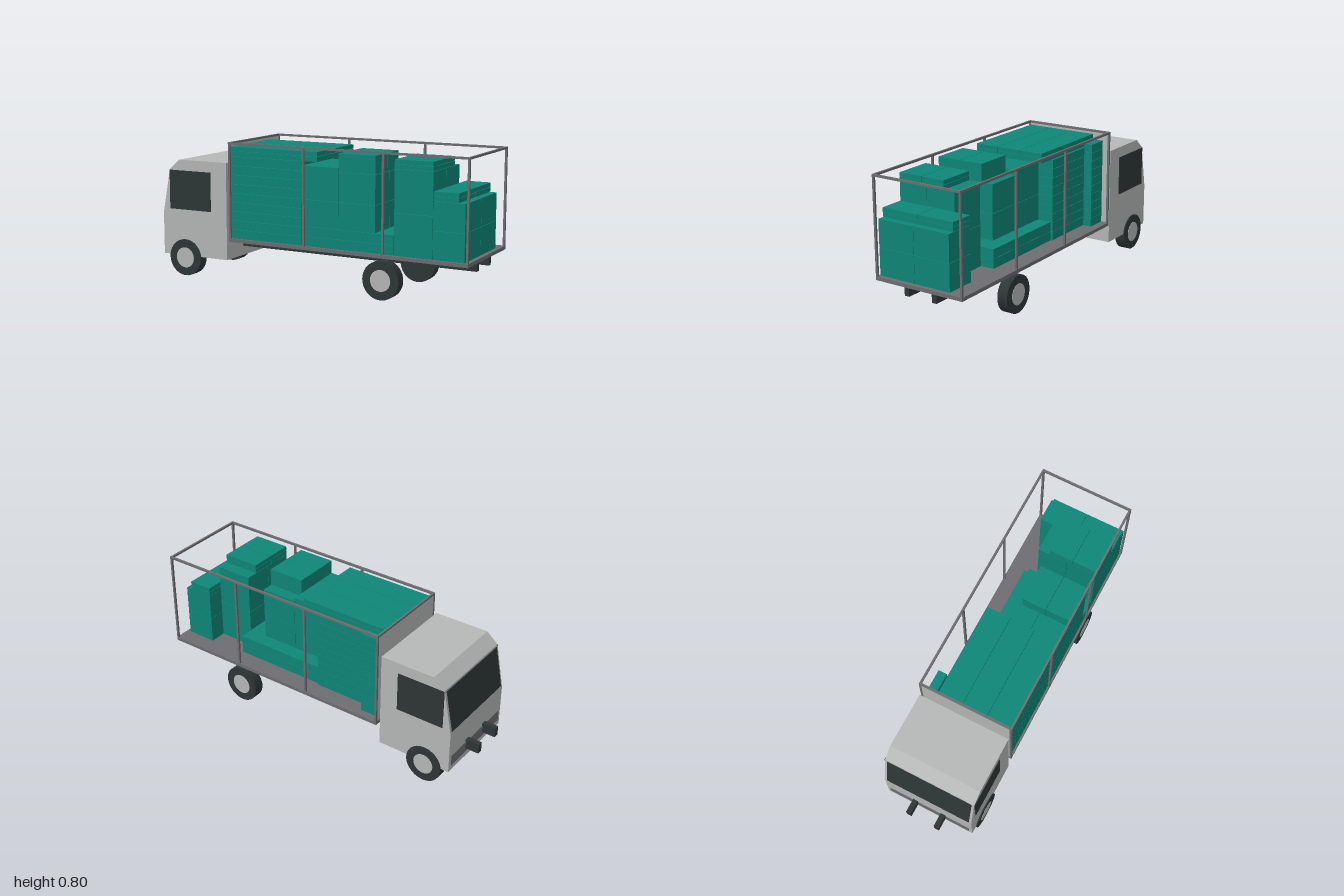
import * as THREE from 'three';

const mat = (name, color, side = THREE.FrontSide) => {
  const m = new THREE.MeshStandardMaterial({ color, side });
  m.name = name;
  return m;
};

export function createModel() {
  const truck = new THREE.Group();
  truck.name = 'truck';
  const paint = mat('light grey', 0xb5b8b7);
  const steel = mat('steel grey', 0x6d6d72);
  const dark = mat('dark rubber and glass', 0x2e3636);
  const teal = mat('teal crate', 0x0e8677);

  const add = (parent, name, geo, material) => {
    const m = new THREE.Mesh(geo, material);
    m.name = name;
    parent.add(m);
    return m;
  };
  // Box given by its limits on each axis
  const box = (parent, name, material, x0, x1, y0, y1, z0, z1) => {
    const m = add(parent, name, new THREE.BoxGeometry(x1 - x0, y1 - y0, z1 - z0), material);
    m.position.set((x0 + x1) / 2, (y0 + y1) / 2, (z0 + z1) / 2);
    return m;
  };

  // Cab: side profile extruded across the width
  const cab = new THREE.Group();
  cab.name = 'cab';
  truck.add(cab);
  const profile = new THREE.Shape([
    [-0.478, 0.118], [-0.478, 0.68], [-0.80, 0.68], [-0.868, 0.622], [-0.918, 0.365], [-0.918, 0.118],
  ].map(([x, y]) => new THREE.Vector2(x, y)));
  const shell = new THREE.ExtrudeGeometry(profile, { depth: 0.54, bevelEnabled: false });
  shell.translate(0, 0, -0.27);
  add(cab, 'cabShell', shell, paint);

  // Windscreen lies on the sloping front
  const lean = Math.atan2(0.05, 0.257);
  const screen = add(cab, 'windscreen', new THREE.BoxGeometry(0.006, 0.24, 0.51), dark);
  screen.position.set(-0.8935, 0.495, 0);
  screen.rotation.z = -lean;
  for (const s of [1, -1]) {
    const w = box(cab, 'sideWindow', dark, -0.868, -0.585, 0.39, 0.618, -0.003, 0.003);
    w.position.z = s * 0.271;
  }
  box(cab, 'frontGrille', steel, -0.921, -0.915, 0.15, 0.215, -0.25, 0.25);

  // Chassis rails
  for (const s of [1, -1]) {
    const r = box(truck, 'chassisRail', dark, -1, 0.98, 0.174, 0.232, -0.015, 0.015);
    r.position.z = s * 0.088;
  }

  // Wheels with flat hub discs
  for (const x of [-0.765, 0.5]) for (const s of [1, -1]) {
    const wheel = new THREE.Group();
    wheel.name = 'wheel';
    wheel.position.set(x, 0.107, s * 0.246);
    wheel.rotation.x = s * Math.PI / 2;
    add(wheel, 'tyre', new THREE.CylinderGeometry(0.107, 0.107, 0.062, 40), dark);
    add(wheel, 'hub', new THREE.CylinderGeometry(0.06, 0.06, 0.006, 32), paint).position.y = 0.03;
    truck.add(wheel);
  }

  // Cargo bed, headboard and open frame
  const bed = new THREE.Group();
  bed.name = 'cargoBed';
  truck.add(bed);
  box(bed, 'bedFloor', steel, -0.458, 0.998, 0.229, 0.249, -0.278, 0.278);
  box(bed, 'headboard', paint, -0.456, -0.45, 0.249, 0.79, -0.268, 0.268);
  for (const s of [1, -1]) {
    const z0 = s > 0 ? 0.266 : -0.278;
    for (const x of [-0.452, 0.027, 0.51, 0.992])
      box(bed, 'framePost', steel, x - 0.006, x + 0.006, 0.249, 0.79, z0, z0 + 0.012);
    box(bed, 'topSideRail', steel, -0.458, 0.998, 0.788, 0.8, z0, z0 + 0.012);
  }
  for (const x of [-0.452, 0.992])
    box(bed, 'topCrossRail', steel, x - 0.006, x + 0.006, 0.788, 0.8, -0.266, 0.266);

  // Crate stacks: levels in y and cuts in z, with a hairline gap between crates
  const cargo = new THREE.Group();
  cargo.name = 'cargo';
  truck.add(cargo);
  const g = 0.001;
  const stack = (name, x0, x1, ys, zs) => {
    for (let i = 0; i + 1 < ys.length; i++) for (let j = 0; j + 1 < zs.length; j++)
      box(cargo, name, teal, x0 + g, x1 - g, ys[i] + g, ys[i + 1] - g, zs[j] + g, zs[j + 1] - g);
  };
  const levels = (y0, y1, n) => Array.from({ length: n + 1 }, (_, i) => y0 + (y1 - y0) * i / n);
  const F = 0.249;
  const Z = 0.268;

  stack('flatCrate', -0.45, 0.01, levels(F, 0.72, 9), [-0.18, -0.03, 0.12, Z]);
  stack('topFlatCrate', -0.45, 0.11, [0.72, 0.75, 0.776], [-0.168, -0.023, 0.123, Z]);
  stack('smallCrate', -0.45, -0.325, levels(F, 0.745, 10), [-0.234, -0.181]);
  stack('lowCrate', 0.01, 0.573, [F, 0.305, 0.36], [-0.17, -0.03, 0.12, Z]);
  stack('middleCrate', 0.01, 0.24, [0.36, 0.51, 0.697], [-0.088, 0.09, Z]);
  stack('tallCrate', 0.24, 0.463, [0.36, 0.51, 0.675], [-0.088, 0.09, Z]);
  stack('tallTopCrate', 0.24, 0.463, [0.675, 0.777], [-0.02, 0.123, Z]);
  stack('rearCrate', 0.573, 0.795, [F, 0.48, 0.713], [-0.088, 0.09, Z]);
  stack('rearTopCrate', 0.573, 0.795, [0.713, 0.739, 0.765], [-0.02, 0.123, Z]);
  stack('tailCrate', 0.795, 0.975, [F, 0.404, 0.559], [-0.185, 0.04, Z]);
  stack('tailTopCrate', 0.795, 0.938, [0.559, 0.585, 0.611], [-0.185, 0.04, Z]);

  return truck;
}
